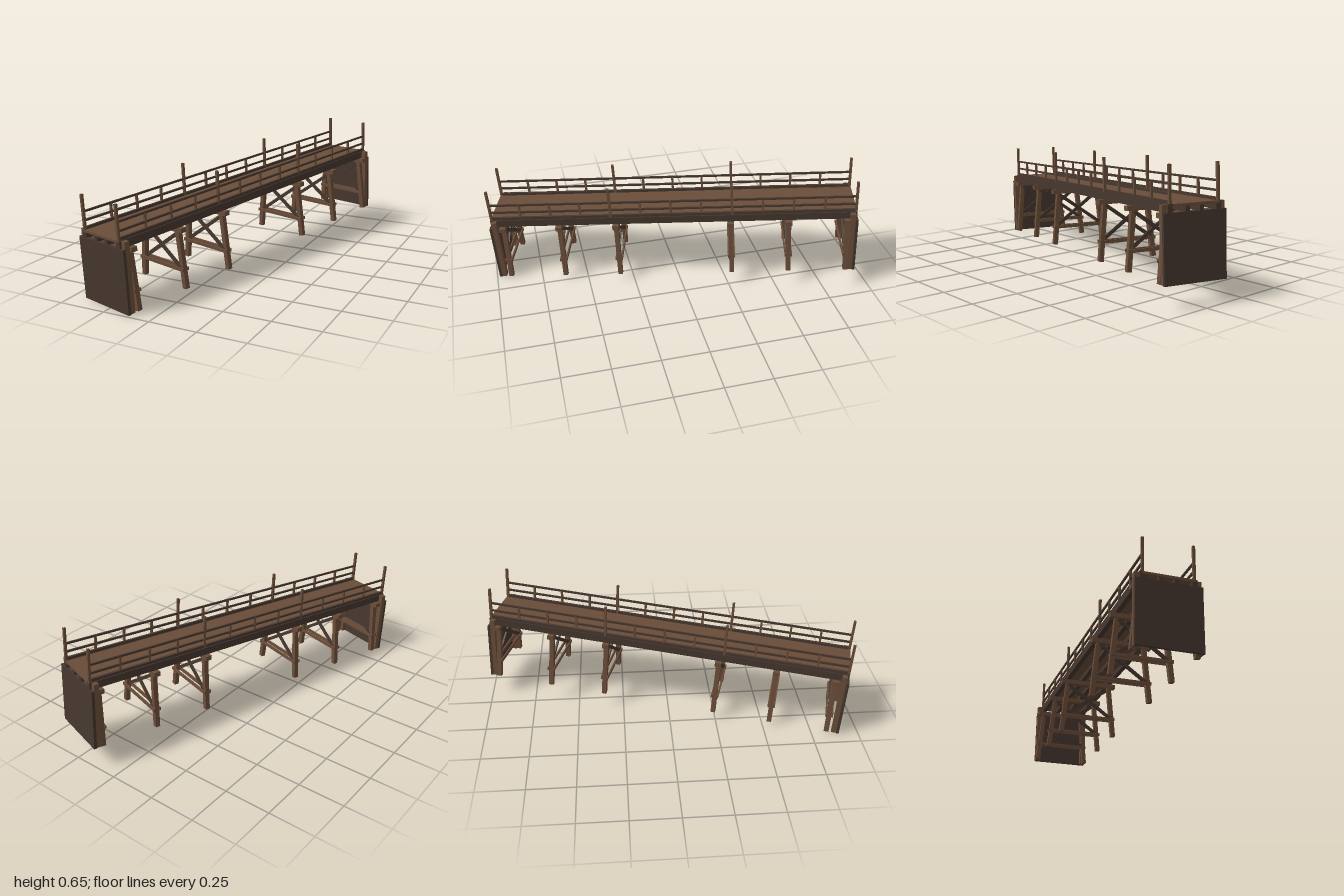
import * as THREE from 'three';

export function createModel() {
  const wood = new THREE.MeshStandardMaterial({ color: 0x6a4d39 });
  wood.name = 'brown wood';
  const dark = new THREE.MeshStandardMaterial({ color: 0x46372f });
  dark.name = 'dark wood';

  // Sloping, turned frame: deck top is y = 0, bridge runs along z
  const bridge = new THREE.Group();
  bridge.name = 'bridge';
  bridge.rotation.order = 'YXZ';
  bridge.rotation.set(0.057, -0.281, 0);
  bridge.position.set(-0.005, 0.42, 0.012);

  function box(parent, name, mat, w, h, d, x, y, z) {
    const m = new THREE.Mesh(new THREE.BoxGeometry(w, h, d), mat);
    m.name = name;
    m.position.set(x, y, z);
    parent.add(m);
    return m;
  }

  // Timber running between two points in a plane of constant z
  function timber(parent, name, mat, x0, y0, x1, y1, z, thick, depth) {
    const len = Math.hypot(x1 - x0, y1 - y0);
    const m = box(parent, name, mat, thick, len, depth, (x0 + x1) / 2, (y0 + y1) / 2, z);
    m.rotation.z = Math.atan2(x0 - x1, y1 - y0);
  }

  // Deck and the stringers below it
  const half = 0.985;
  box(bridge, 'deck', wood, 0.262, 0.012, half * 2, 0, -0.006, 0);
  for (const x of [-0.037, 0.037]) {
    box(bridge, 'stringer', dark, 0.022, 0.028, half * 2, x, -0.026, 0);
  }

  for (const side of [-1, 1]) {
    box(bridge, 'sideBeam', dark, 0.025, 0.04, half * 2, side * 0.1245, -0.02, 0);
    box(bridge, 'curb', dark, 0.012, 0.014, half * 2, side * 0.125, 0.007, 0);

    // Railing
    const railing = new THREE.Group();
    railing.name = 'railing';
    for (const y of [0.045, 0.09]) {
      box(railing, 'rail', dark, 0.009, 0.01, half * 2, side * 0.125, y, 0);
    }
    for (let i = 0; i <= 12; i++) {
      const tall = i % 4 === 0;
      const h = tall ? 0.176 : 0.09;
      const w = tall ? 0.013 : 0.011;
      box(railing, tall ? 'tallPost' : 'railPost', wood, w, h, w,
        side * 0.125, h / 2, -0.979 + i * 1.958 / 12);
    }
    bridge.add(railing);
  }

  // Trestle bents with splayed legs
  for (const z of [-0.93, -0.62, -0.31, 0.31, 0.62, 0.93]) {
    const bent = new THREE.Group();
    bent.name = 'trestle';
    bent.position.z = z - 0.008;
    box(bent, 'capBeam', wood, 0.322, 0.024, 0.034, 0, -0.052, 0);
    for (const side of [-1, 1]) {
      timber(bent, 'leg', wood, side * 0.154, -0.36, side * 0.122, -0.045, 0, 0.025, 0.025);
      box(bent, 'crossBar', wood, 0.32, 0.017, 0.008, 0, -0.258, side * 0.016);
      timber(bent, 'crossBrace', dark, side * 0.14, -0.255, -side * 0.12, -0.07,
        side * 0.008, 0.018, 0.01);
    }
    bridge.add(bent);
  }

  // Abutment walls with corner posts
  for (const end of [-1, 1]) {
    box(bridge, 'abutmentWall', dark, 0.326, 0.325, 0.015, 0, -0.1995, end * 0.982);
    for (const side of [-1, 1]) {
      box(bridge, 'cornerPost', wood, 0.03, 0.358, 0.026, side * 0.147, -0.181, end * 0.962);
    }
  }

  const model = new THREE.Group();
  model.name = 'trestleBridge';
  model.add(bridge);
  return model;
}
